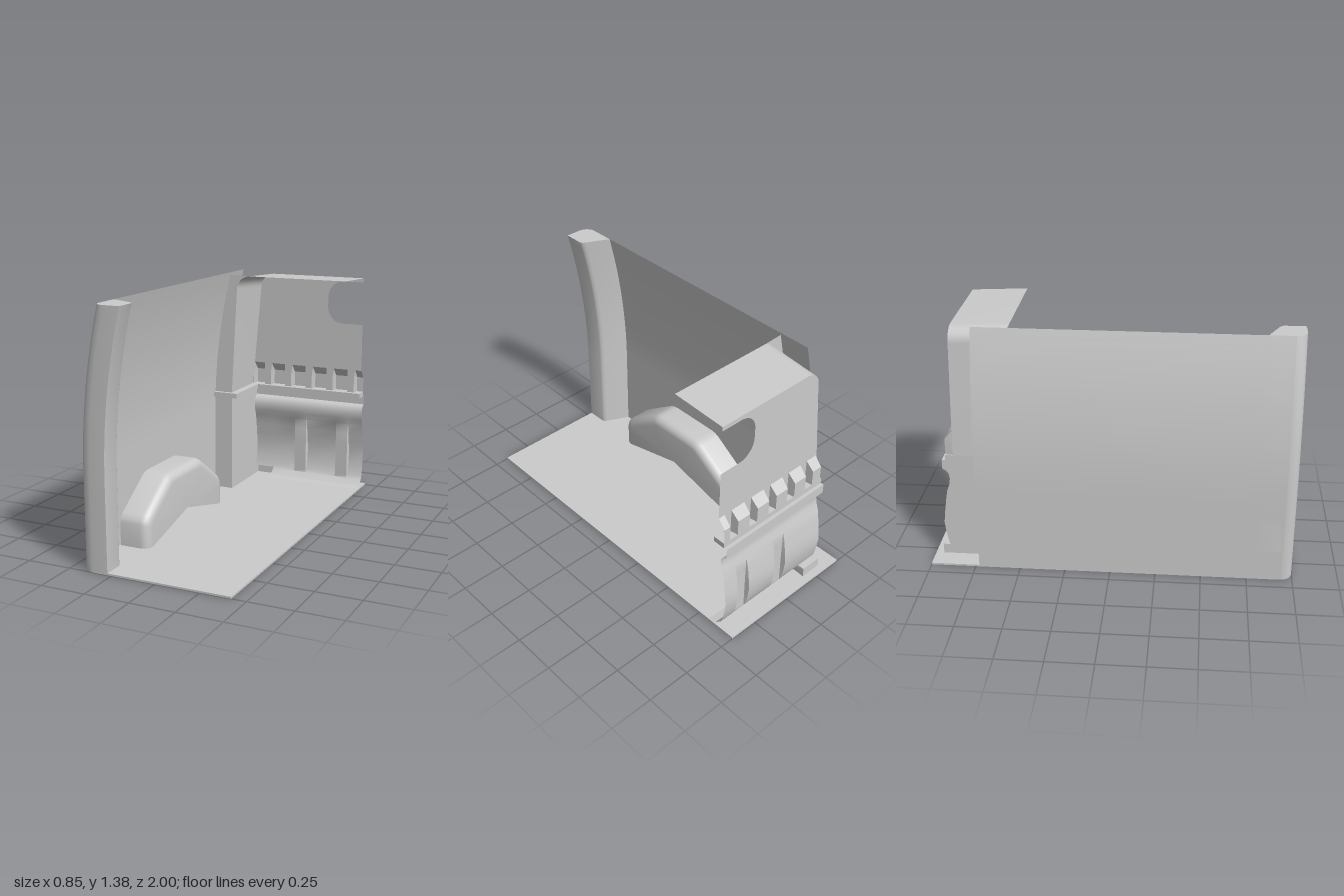
import * as THREE from 'three';
import { toCreasedNormals } from 'three/addons/utils/BufferGeometryUtils.js';

const material = new THREE.MeshStandardMaterial({ color: 0xcccccc, side: THREE.DoubleSide });
const WALL_X = -0.425, TOP = 1.375, PANEL_X = -0.31, END_X = 0.42;
const FRONT_Z = -0.545, BACK_Z = -0.866;

// Inward lean of the outer wall at height y
const lean = (y) => 0.11 * Math.pow(Math.max(0, y - 0.5) / 0.875, 2);
const heights = (from, to, n) => Array.from({ length: n + 1 }, (_, i) => from + ((to - from) * i) / n);

function part(group, name, geometry) {
  const mesh = new THREE.Mesh(geometry, material);
  mesh.name = name;
  group.add(mesh);
  return mesh;
}

// Skin a surface across rings of [x, y, z] points
function loft(rings, closed = false, crease = 0.5) {
  const n = rings[0].length, index = [];
  for (let i = 0; i < rings.length - 1; i++) {
    for (let j = 0; j < (closed ? n : n - 1); j++) {
      const a = i * n + j, b = i * n + ((j + 1) % n);
      index.push(a, b, a + n, b, b + n, a + n);
    }
  }
  const geometry = new THREE.BufferGeometry();
  geometry.setAttribute('position', new THREE.Float32BufferAttribute(rings.flat(2), 3));
  geometry.setIndex(index);
  return toCreasedNormals(geometry, crease);
}

// Sweep [z, y] profiles along x; stations are [x, profile]
const sweep = (stations) => loft(stations.map(([x, profile]) => profile.map(([z, y]) => [x, y, z])));

const polygon = (points) => new THREE.Shape(points.map(([x, y]) => new THREE.Vector2(x, y)));

function box(group, name, x0, x1, y0, y1, z0, z1) {
  const mesh = part(group, name, new THREE.BoxGeometry(x1 - x0, y1 - y0, z1 - z0));
  mesh.position.set((x0 + x1) / 2, (y0 + y1) / 2, (z0 + z1) / 2);
}

// Left edge, rounded corner and roof of the upper bulkhead, as [x, y]
function hoodPath(topX, roofY) {
  const r = 0.085, path = [[PANEL_X, 0.63]];
  for (let i = 0; i <= 8; i++) {
    const a = (i / 8) * (Math.PI / 2);
    path.push([topX + r * (1 - Math.cos(a)), roofY - r * (1 - Math.sin(a))]);
  }
  path.push([END_X, roofY]);
  return path;
}

function addShell(group) {
  // Floor with one rounded corner
  const s = new THREE.Shape();
  s.moveTo(END_X, -1);
  s.lineTo(END_X, 1);
  s.lineTo(WALL_X, 1);
  s.lineTo(WALL_X, -0.92);
  s.quadraticCurveTo(WALL_X, -1, WALL_X + 0.08, -1);
  const floor = part(group, 'floor', new THREE.ExtrudeGeometry(s, { depth: 0.01, bevelEnabled: false }));
  floor.rotation.x = -Math.PI / 2;

  // Curved side wall
  const ys = heights(0.005, TOP, 24);
  part(group, 'sideWall', loft(ys.map((y) => [[WALL_X + lean(y), y, -0.73], [WALL_X + lean(y), y, 0.94]])));

  // Front pillar, closed at the top
  const section = [[0, 0.8], [0, 0.94], [0.006, 0.965], [0.02, 0.985], [0.04, 0.996], [0.065, 1],
    [0.152, 1], [0.152, 0.885], [0.145, 0.872], [0.13, 0.862]];
  const rings = ys.map((y) => section.map(([x, z]) => [WALL_X + x + lean(y), y, z]));
  rings.push(section.map(() => [WALL_X + 0.08 + lean(TOP), TOP, 0.93]));
  part(group, 'frontPillar', loft(rings, true));
}

function addWheelArch(group) {
  const cz = 0.17, half = 0.455, h = 0.345, r = 0.05;
  const outline = [[0.625, 0], [0.625, 0.13], [0.617, 0.155], [0.595, 0.18], [0.375, 0.33], [0.35, 0.341],
    [0.32, 0.345], [0.02, 0.345], [-0.01, 0.341], [-0.035, 0.33], [-0.255, 0.18], [-0.277, 0.155],
    [-0.285, 0.13], [-0.285, 0]];
  const ring = (x, inset) => outline.map(([z, y]) =>
    [x, 0.01 + y * (1 - inset / h), cz + (z - cz) * (1 - inset / half)]);
  const rings = [ring(-0.42, 0)];
  for (let i = 0; i <= 6; i++) {
    const a = (i / 6) * (Math.PI / 2);
    rings.push(ring(-0.25 - r + r * Math.sin(a), r * (1 - Math.cos(a))));
  }
  rings.push(outline.map(() => [-0.25, 0.11, cz]));
  part(group, 'wheelArch', loft(rings, false, 0.7));
}

function addUpperBulkhead(group) {
  const front = hoodPath(-0.275, 1.355), back = hoodPath(-0.255, 1.34);
  part(group, 'bulkheadHood', loft([
    front.map(([x, y]) => [x, y, FRONT_Z]),
    back.map(([x, y]) => [x, y, BACK_Z]),
  ]));

  // Rear panel with a rounded window notch on the open side
  const s = new THREE.Shape();
  s.moveTo(-0.305, 0.77);
  back.slice(1).forEach(([x, y]) => s.lineTo(x, y));
  s.lineTo(END_X, 1.315);
  s.lineTo(0.3, 1.315);
  s.absarc(0.295, 1.215, 0.1, Math.PI / 2, Math.PI, false);
  s.absarc(0.295, 1.155, 0.1, Math.PI, Math.PI * 1.5, false);
  s.lineTo(END_X, 1.055);
  s.lineTo(END_X, 0.77);
  part(group, 'rearWindowPanel', new THREE.ShapeGeometry(s)).position.z = BACK_Z;

  // Front flange closing the gap to the side wall
  const outer = heights(0.01, 1.36, 20).map((y) => [WALL_X + lean(y), y]);
  const inner = front.slice(0, 10).reverse();
  part(group, 'bulkheadFlange', new THREE.ShapeGeometry(
    polygon([...outer, ...inner, [PANEL_X, 0.01]]))).position.z = FRONT_Z;

  // Belt of pockets separated by narrow ribs
  const flat = [[BACK_Z, 0.77], [BACK_Z, 0.72], [BACK_Z, 0.63], [BACK_Z, 0.63]];
  const pocket = [[BACK_Z, 0.77], [-0.91, 0.72], [-0.91, 0.63], [BACK_Z, 0.63]];
  const stations = [[-0.305, flat], [-0.297, pocket]];
  for (let i = 0; i < 5; i++) {
    const c = -0.206 + i * 0.1395;
    stations.push([c - 0.028, pocket], [c - 0.021, flat], [c + 0.021, flat], [c + 0.028, pocket]);
  }
  stations.push([END_X, pocket]);
  part(group, 'pocketBelt', sweep(stations));
}

function addLowerBulkhead(group) {
  // Waist trim along the flange, the side and the rear
  box(group, 'waistTrimFront', WALL_X + 0.005, -0.265, 0.6, 0.63, -0.56, -0.52);
  box(group, 'waistTrimSide', PANEL_X, -0.265, 0.6, 0.63, -0.91, -0.56);
  box(group, 'waistTrimRear', -0.265, END_X, 0.6, 0.63, -0.91, -0.84);

  // Rear panel: wavy profile, flat ribs, and a foot pocket in the corner
  const upper = [[-0.84, 0.6], [-0.93, 0.6], [-0.93, 0.545], [-0.91, 0.535], [-0.896, 0.515], [-0.892, 0.485],
    [-0.897, 0.45], [-0.912, 0.41], [-0.922, 0.35], [-0.932, 0.28], [-0.94, 0.21], [-0.932, 0.14], [-0.92, 0.08]];
  const plain = [...upper, [-0.91, 0.06], [-0.875, 0.027], [-0.83, 0.02]];
  const foot = [...upper, [-0.915, 0.067], [-0.955, 0.067], [-0.955, 0.01]];
  const rib = plain.map(([z, y]) => (y < 0.42 ? [Math.max(z, -0.91), y] : [z, y]));
  const stations = [[PANEL_X, foot], [-0.186, foot], [-0.184, plain]];
  for (const c of [0.005, 0.285]) {
    stations.push([c - 0.042, plain], [c - 0.038, rib], [c + 0.038, rib], [c + 0.042, plain]);
  }
  stations.push([END_X, plain]);
  part(group, 'lowerRearPanel', sweep(stations));

  // Flat side panel, cut to the rear profile
  const side = polygon([[-FRONT_Z, 0.01], [-FRONT_Z, 0.6], ...foot.slice(1).map(([z, y]) => [-z, y])]);
  const mesh = part(group, 'lowerSidePanel', new THREE.ShapeGeometry(side));
  mesh.rotation.y = Math.PI / 2;
  mesh.position.x = PANEL_X;
}

export function createModel() {
  const group = new THREE.Group();
  group.name = 'cargoBayHalf';
  addShell(group);
  addWheelArch(group);
  addUpperBulkhead(group);
  addLowerBulkhead(group);
  return group;
}
